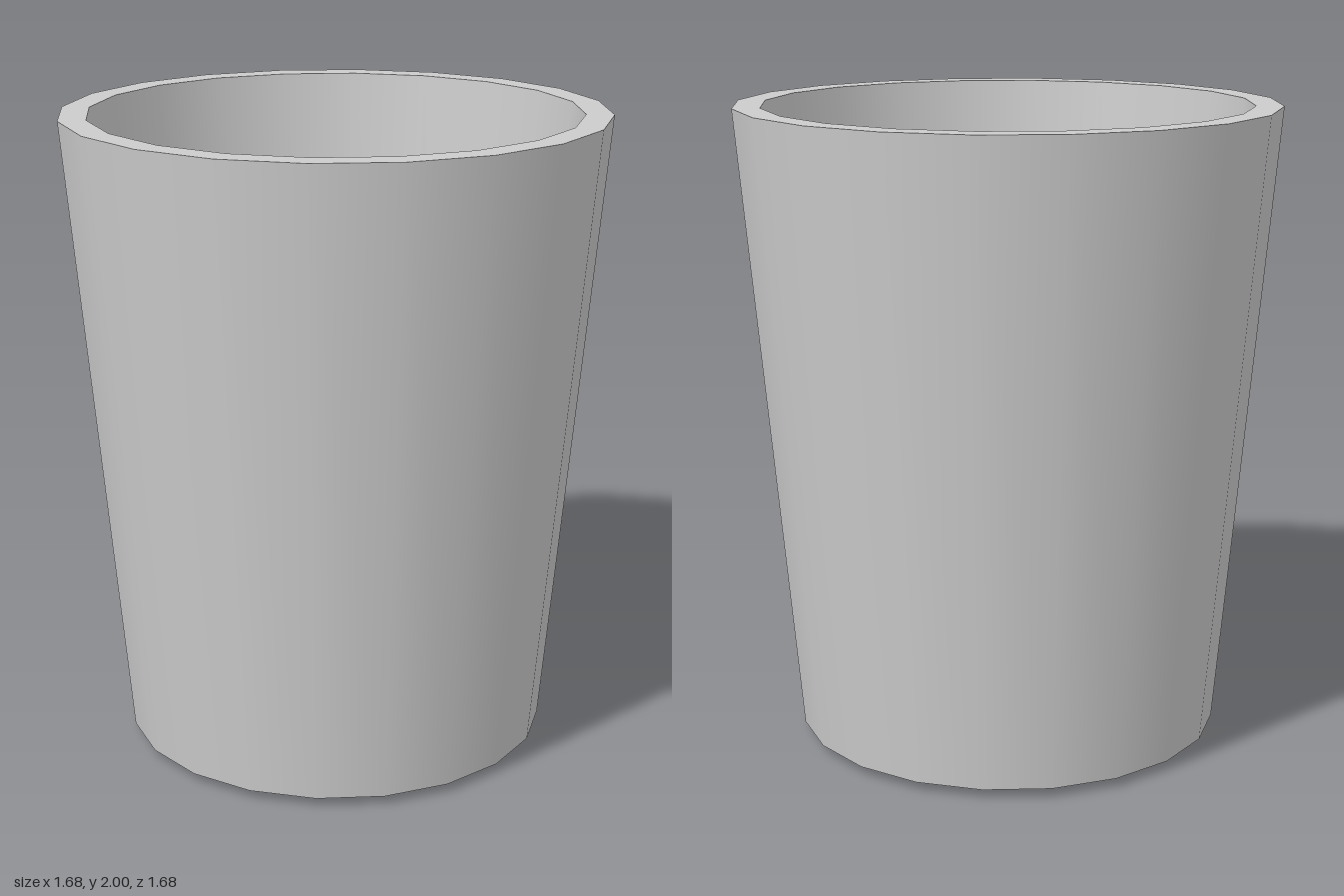
import * as THREE from 'three';

const SIDES = 20;

// Profile corners [radius, height]
const BASE_CENTRE = [0, 0];
const BASE_EDGE = [0.665, 0.03];
const RIM_OUTER = [0.84, 2];
const RIM_INNER = [0.755, 2];
const FLOOR_EDGE = [0.6, 0.25];
const FLOOR_CENTRE = [0, 0.25];

export function createModel() {
  const group = new THREE.Group();
  group.name = 'cup';
  const material = new THREE.MeshStandardMaterial({ color: 0xcccccc });

  // Each surface is its own lathe: smooth around, sharp where surfaces meet
  const addSurface = (name, from, to) => {
    const points = [from, to].map(([r, y]) => new THREE.Vector2(r, y));
    const mesh = new THREE.Mesh(new THREE.LatheGeometry(points, SIDES), material);
    mesh.name = name;
    group.add(mesh);
  };

  addSurface('base', BASE_CENTRE, BASE_EDGE); // shallow cone underneath
  addSurface('outerWall', BASE_EDGE, RIM_OUTER);
  addSurface('rim', RIM_OUTER, RIM_INNER);
  addSurface('innerWall', RIM_INNER, FLOOR_EDGE);
  addSurface('innerFloor', FLOOR_EDGE, FLOOR_CENTRE);

  return group;
}
